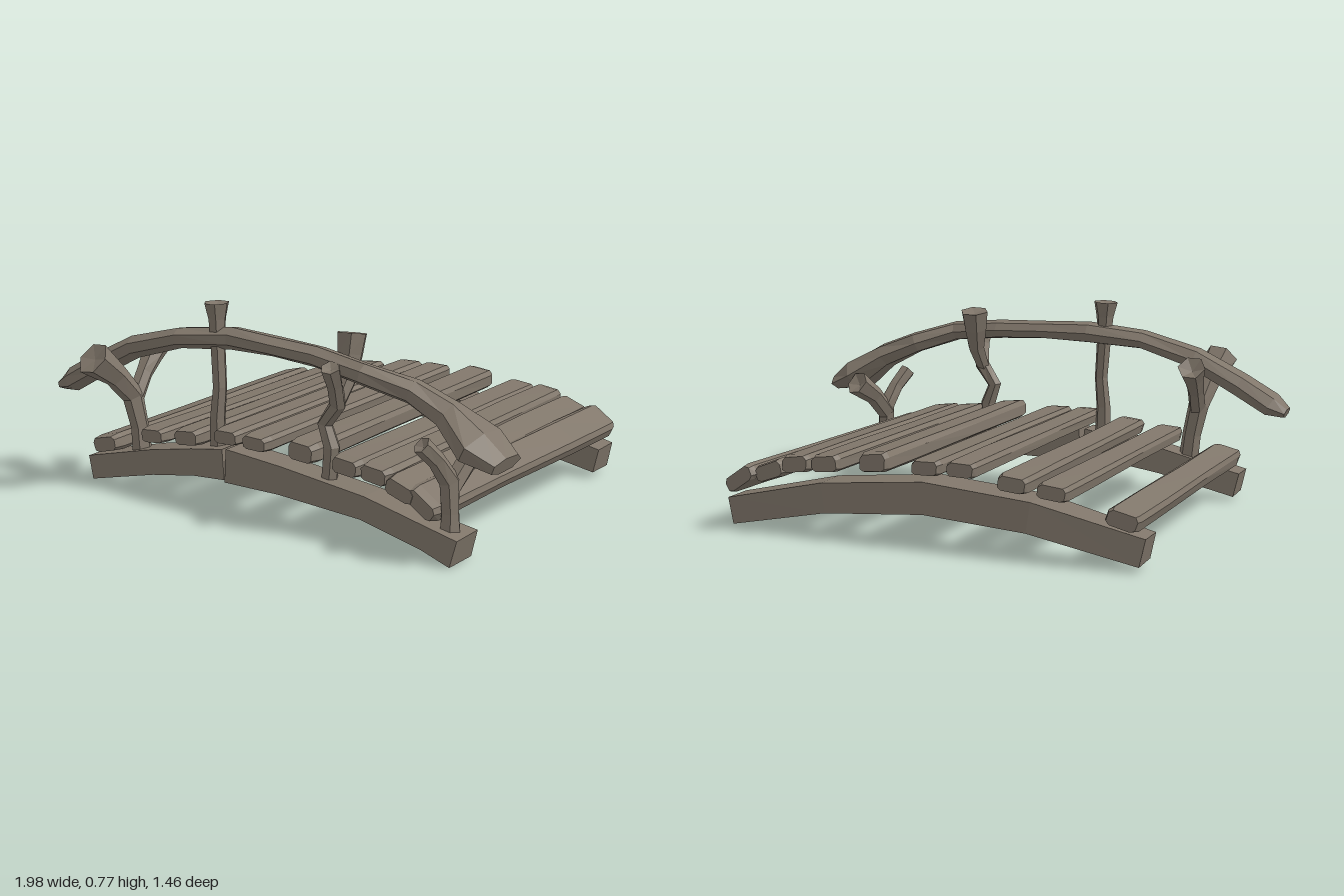
import * as THREE from 'three';

const wood = new THREE.MeshStandardMaterial({ color: 0x80766a });
wood.name = 'weathered wood';

let seed = 7;
const rand = () => ((seed = (seed * 16807) % 2147483647) / 2147483647) * 2 - 1;

// Cross-sections in units of the half width and half height
const plankRing = [[1, -0.65], [1, 0.5], [0.72, 1], [-0.8, 1], [-1, 0.45], [-0.95, -0.7], [-0.65, -1], [0.75, -1]];
const beamRing = [[1, -0.92], [0.94, 1], [-0.96, 1], [-1, -1]];
const logRing = (n) => Array.from({ length: n }, (_, i) => {
  const a = ((i + 0.5) / n) * Math.PI * 2;
  return [Math.cos(a) * 1.06, Math.sin(a) * 1.06];
});

// Faceted loft through points [x, y, z, half width, half height]
function loft(name, pts, ring, { ref = new THREE.Vector3(0, 1, 0), roll = 0, rough = 0, hollow = 0 } = {}) {
  const pos = pts.map((p) => new THREE.Vector3(p[0], p[1], p[2]));
  const last = pos.length - 1;
  const n = ring.length;
  const tangent = (i) => pos[Math.min(i + 1, last)].clone().sub(pos[Math.max(i - 1, 0)]).normalize();
  const rings = pts.map((p, i) => {
    const t = tangent(i);
    const side = t.clone().cross(ref).normalize();
    const up = side.clone().cross(t);
    return ring.map(([u, v]) => {
      const a = u * p[3] * (1 + rand() * rough);
      const b = v * (p[4] ?? p[3]) * (1 + rand() * rough);
      const c = Math.cos(roll), s = Math.sin(roll);
      return pos[i].clone().addScaledVector(side, a * c - b * s).addScaledVector(up, a * s + b * c);
    });
  });
  const out = [];
  const tri = (...vs) => vs.forEach((v) => out.push(v.x, v.y, v.z));
  for (let i = 0; i < last; i++) {
    for (let j = 0; j < n; j++) {
      const k = (j + 1) % n;
      tri(rings[i][j], rings[i + 1][j], rings[i][k]);
      tri(rings[i][k], rings[i + 1][j], rings[i + 1][k]);
    }
  }
  // End caps, the far one optionally hollowed
  const tip = pos[last].clone().addScaledVector(tangent(last), -hollow);
  for (let j = 0; j < n; j++) {
    const k = (j + 1) % n;
    tri(pos[0], rings[0][j], rings[0][k]);
    tri(tip, rings[last][k], rings[last][j]);
  }
  const geo = new THREE.BufferGeometry();
  geo.setAttribute('position', new THREE.Float32BufferAttribute(out, 3));
  geo.computeVertexNormals();
  const mesh = new THREE.Mesh(geo, wood);
  mesh.name = name;
  return mesh;
}

export function createModel() {
  const model = new THREE.Group();
  model.name = 'woodenFootbridge';

  // Front beam in two pieces, broken near the middle
  model.add(loft('frontBeamLeftPiece', [
    [-0.805, 0.068, 0.52, 0.06, 0.048], [-0.5, 0.14, 0.52, 0.06, 0.05],
    [-0.3, 0.175, 0.52, 0.06, 0.053], [-0.16, 0.188, 0.52, 0.055, 0.06],
  ], beamRing));
  model.add(loft('frontBeamRightPiece', [
    [-0.15, 0.185, 0.515, 0.06, 0.066], [0.1, 0.175, 0.52, 0.06, 0.055],
    [0.45, 0.14, 0.52, 0.06, 0.045], [0.7, 0.085, 0.525, 0.065, 0.045], [0.825, 0.053, 0.525, 0.075, 0.052],
  ], beamRing));

  // Back beam, a single arch
  model.add(loft('backBeam', [
    [-0.8, 0.072, -0.64, 0.06, 0.05], [-0.4, 0.16, -0.64, 0.08, 0.055], [0, 0.19, -0.63, 0.08, 0.058],
    [0.4, 0.155, -0.63, 0.075, 0.055], [0.79, 0.072, -0.63, 0.065, 0.05],
  ], beamRing));

  // Deck planks: front x, back x, y, half width, half height, roll
  const planks = [
    [-0.735, -0.73, 0.172, 0.062, 0.032, 0.25],
    [-0.498, -0.478, 0.243, 0.058, 0.028, 0.1],
    [-0.335, -0.335, 0.262, 0.058, 0.03, 0.1],
    [-0.15, -0.14, 0.294, 0.056, 0.028, 0.03],
    [-0.02, -0.012, 0.293, 0.056, 0.028, -0.03],
    [0.185, 0.19, 0.296, 0.058, 0.036, -0.08],
    [0.37, 0.39, 0.274, 0.058, 0.032, -0.1],
    [0.49, 0.505, 0.266, 0.058, 0.032, -0.12],
    [0.595, 0.62, 0.228, 0.064, 0.032, -0.35],
    [0.68, 0.735, 0.195, 0.07, 0.03, -0.6],
  ];
  const deck = new THREE.Group();
  deck.name = 'deck';
  planks.forEach(([xf, xb, y, w, h, roll], i) => {
    const at = (z, k) => {
      const f = (0.575 - z) / 1.295;
      return [xf + (xb - xf) * f, y + 0.006 * f, z, w * k, h * k];
    };
    const back = -0.715 + rand() * 0.01;
    deck.add(loft('plank' + (i + 1),
      [at(0.575, 0.86), at(0.53, 1), at(0.1, 0.95), at(-0.4, 1), at(back + 0.025, 1), at(back, 0.86)],
      plankRing, { roll, rough: 0.04 }));
  });
  model.add(deck);

  // Handrail, a crooked branch
  model.add(loft('handrail', [
    [-0.99, 0.365, 0.505, 0.042, 0.022], [-0.93, 0.39, 0.505, 0.06, 0.045], [-0.8, 0.465, 0.51, 0.06, 0.045],
    [-0.62, 0.56, 0.495, 0.055, 0.042], [-0.4, 0.623, 0.5, 0.055, 0.036], [-0.18, 0.645, 0.475, 0.05, 0.04],
    [0.02, 0.643, 0.49, 0.055, 0.035], [0.22, 0.635, 0.505, 0.05, 0.035], [0.44, 0.612, 0.55, 0.045, 0.038],
    [0.6, 0.562, 0.495, 0.055, 0.042], [0.74, 0.5, 0.49, 0.065, 0.05], [0.87, 0.415, 0.505, 0.115, 0.065],
    [0.97, 0.372, 0.51, 0.085, 0.032],
  ], logRing(7), { rough: 0.07 }));

  // Posts, three of them forked around the rail
  const posts = new THREE.Group();
  posts.name = 'posts';
  const branch = (name, pts, hollow = 0.012) => posts.add(
    loft(name, pts, logRing(6), { ref: new THREE.Vector3(1, 0, 0), rough: 0.06, hollow }));

  branch('rightEndPost', [
    [-0.59, 0.12, 0.52, 0.038], [-0.605, 0.25, 0.515, 0.034], [-0.63, 0.37, 0.52, 0.04],
    [-0.65, 0.46, 0.59, 0.045], [-0.67, 0.545, 0.69, 0.065],
  ]);
  branch('rightEndPostBackFork', [
    [-0.625, 0.35, 0.52, 0.032], [-0.64, 0.44, 0.44, 0.032], [-0.648, 0.5, 0.38, 0.04], [-0.652, 0.545, 0.335, 0.05],
  ], 0.025);

  branch('straightPost', [
    [-0.235, 0.16, 0.5, 0.034], [-0.235, 0.34, 0.505, 0.028], [-0.225, 0.46, 0.5, 0.026],
    [-0.24, 0.64, 0.49, 0.028], [-0.243, 0.71, 0.486, 0.033], [-0.245, 0.77, 0.485, 0.047],
  ]);

  branch('crookedPost', [
    [0.27, 0.16, 0.52, 0.03], [0.285, 0.32, 0.52, 0.03], [0.253, 0.4, 0.515, 0.027],
    [0.31, 0.48, 0.52, 0.03], [0.325, 0.56, 0.56, 0.027], [0.332, 0.63, 0.598, 0.034],
  ]);
  branch('crookedPostBackFork', [
    [0.305, 0.47, 0.52, 0.026], [0.312, 0.56, 0.46, 0.032], [0.305, 0.64, 0.435, 0.045], [0.302, 0.715, 0.42, 0.055],
  ]);

  branch('leftEndPost', [
    [0.77, 0.06, 0.525, 0.04], [0.768, 0.17, 0.52, 0.032], [0.76, 0.28, 0.515, 0.036],
    [0.735, 0.36, 0.56, 0.03], [0.705, 0.42, 0.61, 0.032],
  ]);
  branch('leftEndPostBackFork', [
    [0.76, 0.25, 0.51, 0.034], [0.78, 0.33, 0.44, 0.036], [0.815, 0.395, 0.35, 0.048],
  ], 0.02);
  model.add(posts);

  return model;
}
